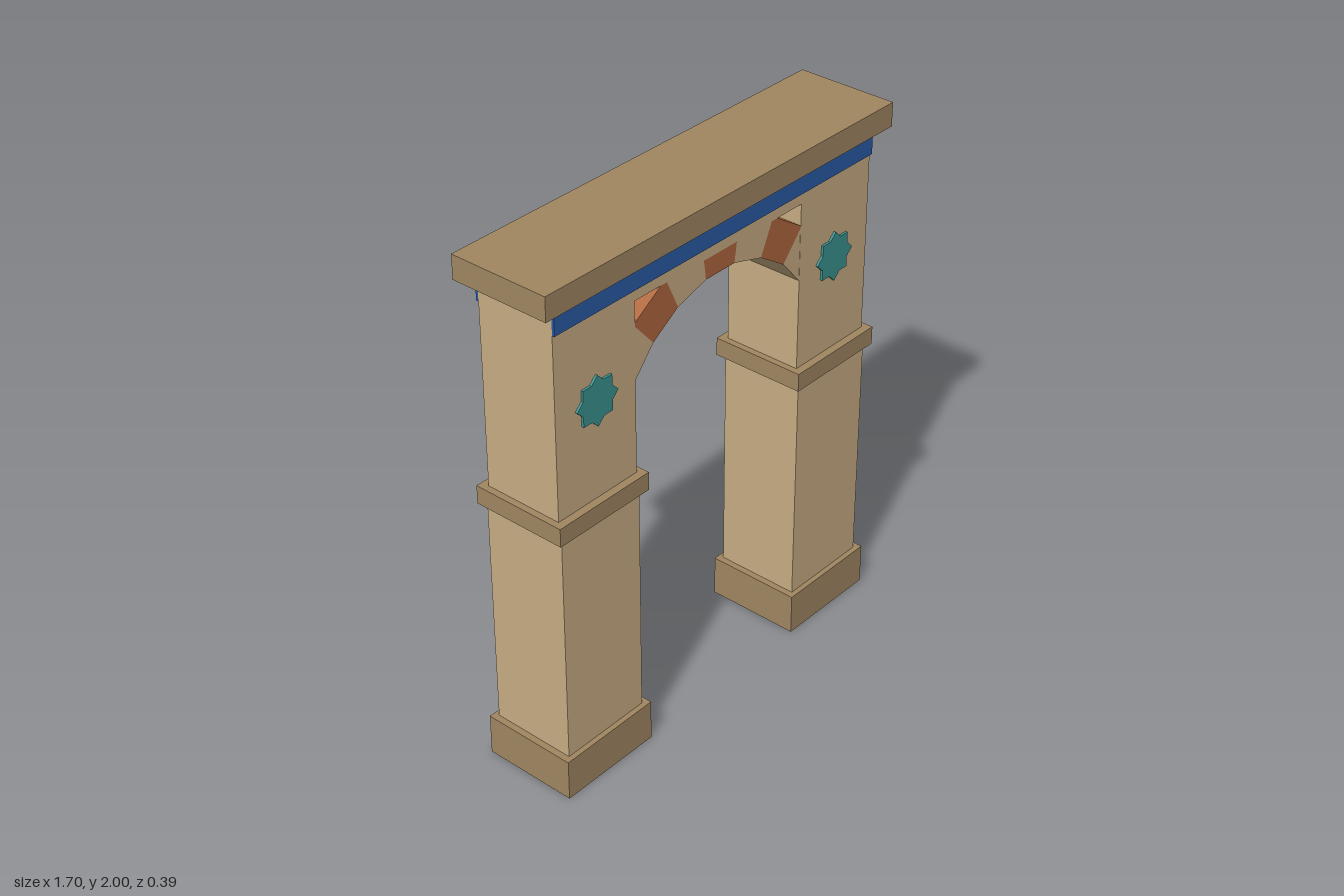
import * as THREE from 'three';

const material = (color) => new THREE.MeshStandardMaterial({ color, flatShading: true });

export function createModel() {
  const model = new THREE.Group();
  const stone = material(0xc8ad84);
  const trim = material(0xa08661);
  const brick = material(0xb0683f);
  const blue = material(0x2a5aa5);
  const teal = material(0x3a9490);

  const add = (name, geometry, mat, x, y, z) => {
    const mesh = new THREE.Mesh(geometry, mat);
    mesh.name = name;
    mesh.position.set(x, y, z);
    model.add(mesh);
    return mesh;
  };
  // Box centred on x and z, spanning y0 to y1
  const block = (name, mat, x, y0, y1, width, depth, z = 0) =>
    add(name, new THREE.BoxGeometry(width, y1 - y0, depth), mat, x, (y0 + y1) / 2, z);
  // Flat outline given depth, centred on z = 0
  const slab = (points, depth) =>
    new THREE.ExtrudeGeometry(new THREE.Shape(points), { depth, bevelEnabled: false })
      .translate(0, 0, -depth / 2);

  // Eight-pointed star outline
  const starPoints = [];
  for (let i = 0; i < 16; i++) {
    const a = (i * Math.PI) / 8;
    const r = i % 2 ? 0.073 : 0.095;
    starPoints.push(new THREE.Vector2(r * Math.cos(a), r * Math.sin(a)));
  }
  const star = slab(starPoints, 0.01);

  // Piers with base, middle band and star ornaments
  for (const side of [1, -1]) {
    const prefix = side > 0 ? 'left' : 'right';
    const x = side * 0.6;
    block(prefix + 'Base', trim, x, 0, 0.16, 0.42, 0.37);
    block(prefix + 'LowerPier', stone, x, 0.16, 1.06, 0.37, 0.33);
    block(prefix + 'PierBand', trim, x, 1.06, 1.13, 0.42, 0.37);
    block(prefix + 'UpperPier', stone, x, 1.13, 1.775, 0.37, 0.31);
    add(prefix + 'FrontStar', star, teal, x, 1.5, 0.159);
    add(prefix + 'BackStar', star, teal, x, 1.5, -0.159);
  }

  // Lintel, painted bands and cornice
  block('lintel', stone, 0, 1.775, 1.91, 1.57, 0.31);
  block('frontBand', blue, 0, 1.82, 1.885, 1.57, 0.01, 0.16);
  block('backBand', blue, 0, 1.82, 1.885, 1.57, 0.01, -0.16);
  block('cornice', trim, 0, 1.91, 2, 1.7, 0.39);

  // Arch stones in alternating colours, their hidden ends set into piers and lintel
  const inner = 0.5, outer = 0.642, step = (16.4 * Math.PI) / 180;
  const polar = (r, a) => new THREE.Vector2(r * Math.sin(a), r * Math.cos(a));
  for (let i = -3; i <= 3; i++) {
    const a = (i - 0.5) * step, b = (i + 0.5) * step;
    const wedge = slab([polar(inner, a), polar(outer, a), polar(outer, b), polar(inner, b)], 0.308);
    add('archStone', wedge, i % 2 ? stone : brick, 0, 1.205, 0);
  }

  return model;
}
